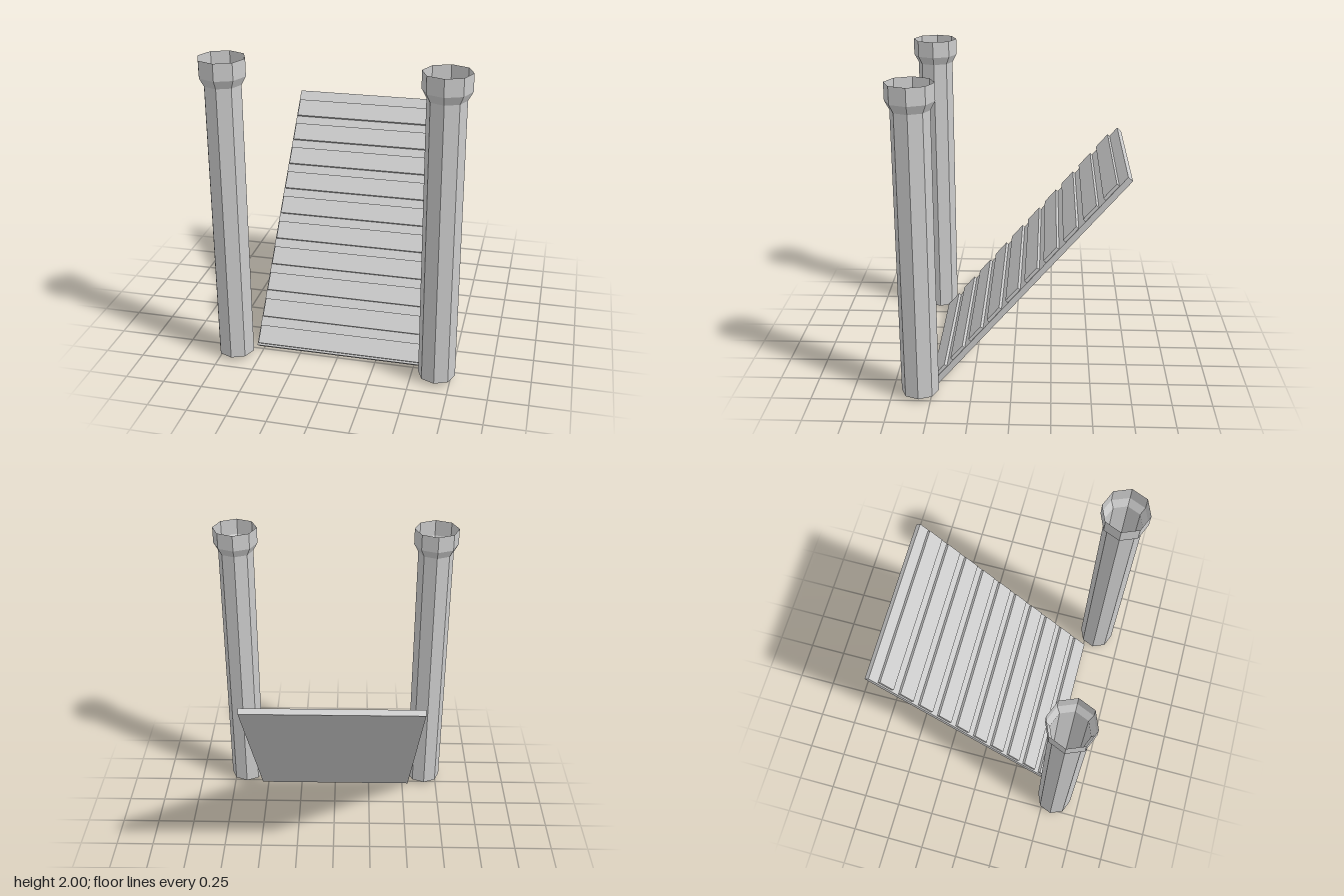
import * as THREE from 'three';

const material = new THREE.MeshStandardMaterial({ color: 0xcccccc, flatShading: true });
const shellMaterial = new THREE.MeshStandardMaterial({ color: 0xcccccc, flatShading: true, side: THREE.DoubleSide });

// Open eight-sided tube that flares into a wider collar at the top
function makePost(name, x) {
  const profile = [[0.117, 0.027], [0.117, 1.84], [0.146, 1.893], [0.146, 2]]
    .map(([r, y]) => new THREE.Vector2(r, y));
  const post = new THREE.Mesh(new THREE.LatheGeometry(profile, 8), shellMaterial);
  post.name = name;
  post.position.set(x, 0, 0.572);
  return post;
}

// Leaning board with raised slats; local y runs up the slope, local z out of its face
function makeRamp() {
  const length = 1.829, thickness = 0.037;
  const ramp = new THREE.Group();
  ramp.name = 'ramp';

  const board = new THREE.Mesh(new THREE.BoxGeometry(1.086, length, thickness), material);
  board.name = 'rampBoard';
  board.position.set(0, length / 2, -thickness / 2);
  ramp.add(board);

  const slatCount = 10, slatHeight = 0.119, slatStep = 0.18, slatDepth = 0.02;
  const slatGeometry = new THREE.BoxGeometry(1.068, slatHeight, slatDepth);
  for (let i = 0; i < slatCount; i++) {
    const slat = new THREE.Mesh(slatGeometry, material);
    slat.name = `slat${i + 1}`;
    slat.position.set(0, length - 0.077 - slatHeight / 2 - i * slatStep, slatDepth / 2);
    ramp.add(slat);
  }

  ramp.position.set(0, 0.024, 0.502);
  ramp.rotation.x = -0.709;
  return ramp;
}

export function createModel() {
  const model = new THREE.Group();
  model.name = 'rampWithPosts';
  model.add(makePost('leftPost', 0.661), makePost('rightPost', -0.661), makeRamp());
  return model;
}
